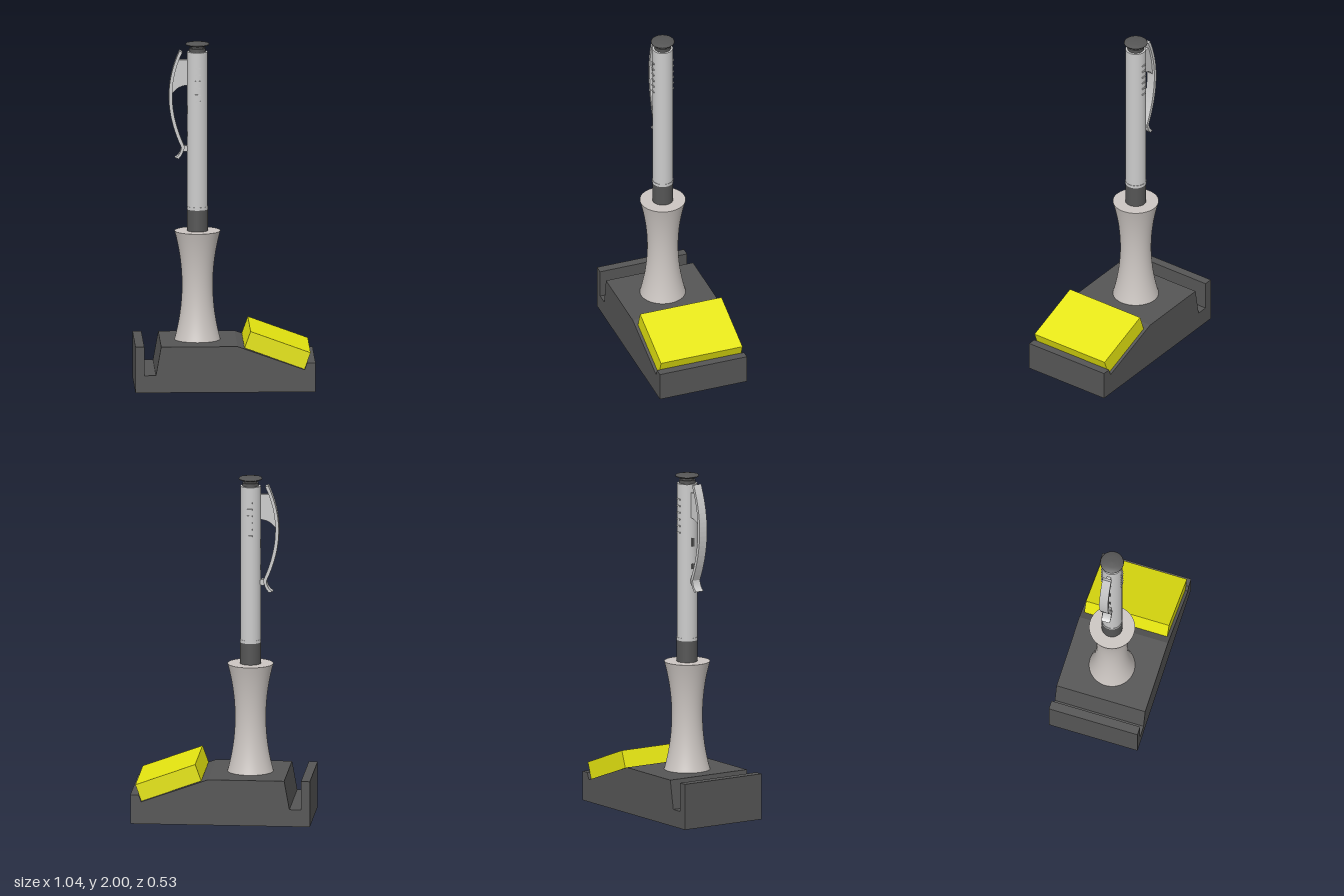
import * as THREE from 'three';

const PEN_X = -0.153;

export function createModel() {
  const model = new THREE.Group();
  const mat = (color, extra = {}) => new THREE.MeshStandardMaterial({ color, ...extra });
  const dark = mat(0x555555);
  const light = mat(0xcccccc);
  const warm = mat(0xccc6c2);
  const yellow = mat(0xe6e610);

  const add = (name, geometry, material, x = 0, y = 0, z = 0) => {
    const mesh = new THREE.Mesh(geometry, material);
    mesh.name = name;
    mesh.position.set(x, y, z);
    model.add(mesh);
    return mesh;
  };
  // Side profile in x and y, extruded evenly about z = 0
  const slab = (shape, depth) =>
    new THREE.ExtrudeGeometry(shape, { depth, bevelEnabled: false, curveSegments: 20 })
      .translate(0, 0, -depth / 2);
  const polygon = (pts) => new THREE.Shape(pts.map(([x, y]) => new THREE.Vector2(x, y)));
  const cylinder = (name, r, y0, y1, material, rTop = r) =>
    add(name, new THREE.CylinderGeometry(rTop, r, y1 - y0, 48), material, PEN_X, (y0 + y1) / 2);

  // Base with a card slot on one side and a sloping notepad rest on the other
  add('base', slab(polygon([
    [-0.518, 0], [0.518, 0], [0.518, 0.17], [0.47, 0.17], [0.455, 0.13],
    [0.07, 0.267], [-0.37, 0.267], [-0.4, 0.1], [-0.467, 0.1], [-0.467, 0.267], [-0.518, 0.267],
  ]), 0.534), dark);

  // Tilted pad of notes
  add('notepad', slab(polygon([
    [0.455, 0.13], [0.49, 0.226], [0.145, 0.352], [0.11, 0.256],
  ]), 0.5), yellow);

  // Waisted pen holder
  const waist = [];
  for (let i = 0; i <= 24; i++) {
    const t = i / 24;
    waist.push(new THREE.Vector2(0.089 + 0.043 * (2 * t - 1) ** 2, 0.267 + 0.633 * t));
  }
  add('holder', new THREE.LatheGeometry(waist, 64), warm, PEN_X);
  const rim = add('holderTop', new THREE.CircleGeometry(0.132, 64), warm, PEN_X, 0.9);
  rim.rotation.x = -Math.PI / 2;

  // Pen body
  cylinder('penGrip', 0.06, 0.88, 1.025, dark);
  cylinder('penRing', 0.061, 1.025, 1.042, light);
  cylinder('penBarrel', 0.059, 1.042, 1.945, light);
  cylinder('penCollar', 0.047, 1.945, 1.965, dark);
  cylinder('penNeck', 0.037, 1.965, 1.985, dark);

  // Push button with a shallow dome
  add('penButton', new THREE.LatheGeometry([
    [0, 1.975], [0.045, 1.977], [0.066, 1.984], [0.068, 1.989], [0.064, 1.994], [0.035, 1.999], [0, 2],
  ].map(([r, y]) => new THREE.Vector2(r, y)), 48), dark, PEN_X);

  // Small ridges on the front and back of the barrel
  for (const side of [-1, 1]) {
    for (let i = 0; i < 6; i++) {
      add('barrelRidge', new THREE.BoxGeometry(0.03, 0.008, 0.008), light,
        PEN_X, 1.66 + i * 0.039, side * 0.059);
    }
  }

  // Bowed clip with a flicked tip
  const clip = new THREE.Shape();
  clip.moveTo(-0.257, 1.952);
  clip.bezierCurveTo(-0.335, 1.78, -0.345, 1.6, -0.246, 1.388);
  clip.quadraticCurveTo(-0.252, 1.345, -0.283, 1.328);
  clip.lineTo(-0.262, 1.322);
  clip.quadraticCurveTo(-0.24, 1.345, -0.236, 1.365);
  clip.lineTo(-0.226, 1.39);
  clip.bezierCurveTo(-0.322, 1.6, -0.318, 1.78, -0.24, 1.945);
  clip.closePath();
  add('clip', slab(clip, 0.052), light);

  // Web joining the clip to the barrel
  const web = new THREE.Shape();
  web.moveTo(-0.265, 1.898);
  web.lineTo(-0.2, 1.898);
  web.lineTo(-0.2, 1.75);
  web.quadraticCurveTo(-0.275, 1.75, -0.306, 1.685);
  web.quadraticCurveTo(-0.302, 1.8, -0.265, 1.898);
  add('clipWeb', slab(web, 0.024), light);

  // Rounded foot where the clip presses on the barrel
  const foot = add('clipFoot', new THREE.CylinderGeometry(0.018, 0.018, 0.03, 20), light, -0.223, 1.38);
  foot.rotation.x = Math.PI / 2;

  // Narrow slots in the barrel behind the clip
  for (const [y, h] of [[1.605, 0.05], [1.465, 0.03]]) {
    add('barrelSlot', new THREE.BoxGeometry(0.004, h, 0.016), dark, PEN_X - 0.059, y);
  }

  return model;
}
